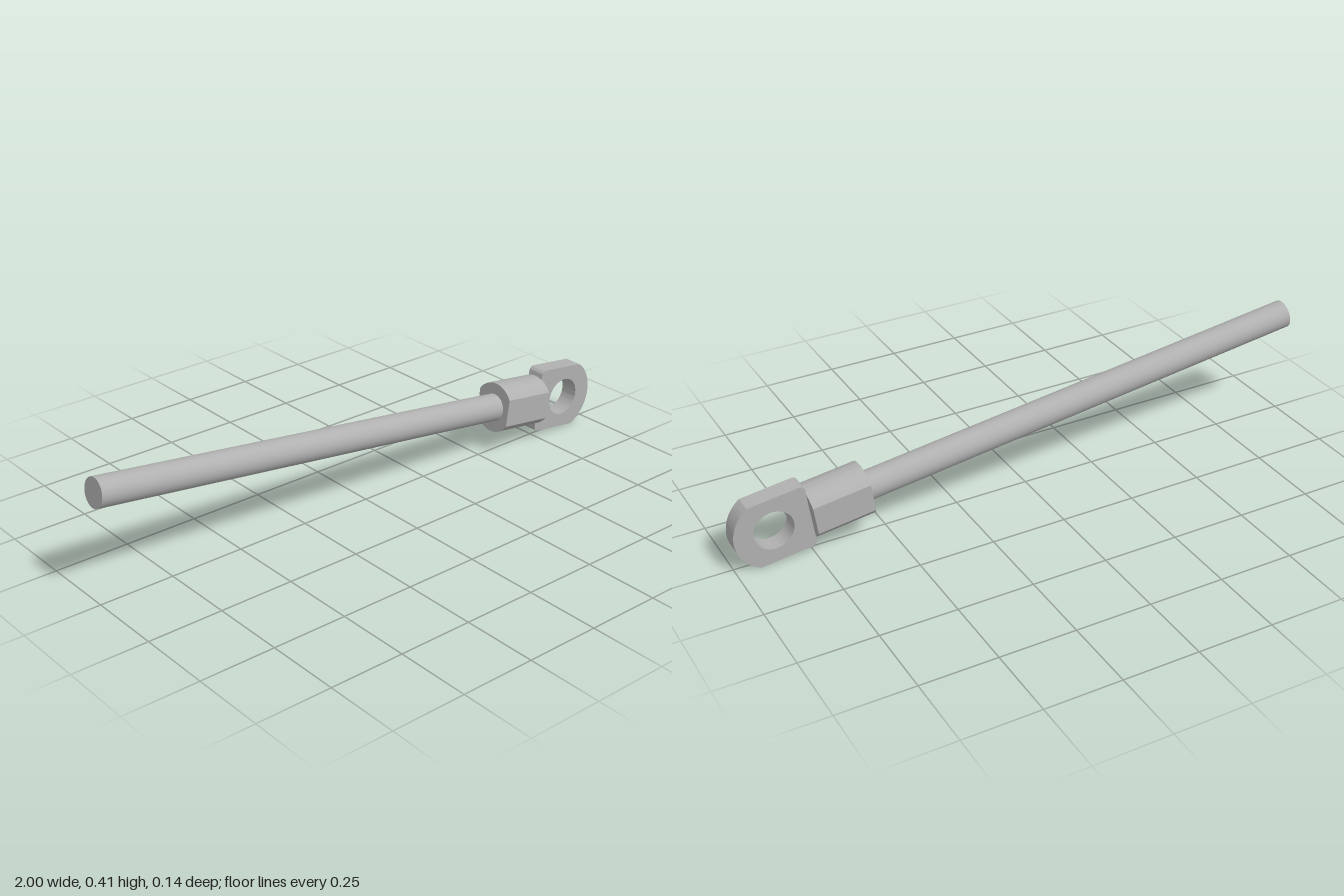
import * as THREE from 'three';
import { toCreasedNormals } from 'three/addons/utils/BufferGeometryUtils.js';

export function createModel() {
  const model = new THREE.Group();
  model.name = 'rodEnd';
  const steel = new THREE.MeshStandardMaterial({ color: 0xb0b0b0 });
  steel.name = 'grey steel';

  // Local frame: origin at the eye's centre, rod running along -x
  const body = new THREE.Group();
  body.name = 'tiltedRod';
  body.position.set(0.872, 0.12, 0);
  body.rotation.z = -THREE.MathUtils.degToRad(7.53);
  model.add(body);

  const add = (name, geometry) => {
    const mesh = new THREE.Mesh(geometry, steel);
    mesh.name = name;
    body.add(mesh);
  };
  const extrude = (shape, depth) => toCreasedNormals(
    new THREE.ExtrudeGeometry(shape, { depth, bevelEnabled: false, curveSegments: 32 }), 0.4);

  // Long round rod
  const rodStart = -1.882, rodEnd = -0.3;
  const rod = new THREE.CylinderGeometry(0.047, 0.047, rodEnd - rodStart, 48);
  rod.rotateZ(Math.PI / 2).translate((rodStart + rodEnd) / 2, 0, 0);
  add('rod', rod);

  // Sleeve: round bar with a flat on each side
  const sleeveR = 0.085, flat = Math.acos(0.071 / sleeveR);
  const section = new THREE.Shape();
  section.absarc(0, 0, sleeveR, flat, Math.PI - flat, false);
  section.absarc(0, 0, sleeveR, Math.PI + flat, 2 * Math.PI - flat, false);
  section.closePath();
  const sleeve = extrude(section, 0.191);
  sleeve.rotateY(Math.PI / 2).translate(-0.311, 0, 0);
  add('sleeve', sleeve);

  // Eye plate: rounded nose, small rounded rear corners, through hole
  const half = 0.111, noseR = 0.128, back = -0.121, r = 0.018;
  const a = Math.asin(half / noseR);
  const outline = new THREE.Shape();
  outline.absarc(0, 0, noseR, -a, a, false);
  outline.absarc(back + r, half - r, r, Math.PI / 2, Math.PI, false);
  outline.absarc(back + r, -half + r, r, Math.PI, Math.PI * 1.5, false);
  outline.closePath();
  const hole = new THREE.Path();
  hole.absarc(0, 0, 0.065, 0, Math.PI * 2, true);
  outline.holes.push(hole);
  const eye = extrude(outline, 0.062);
  eye.translate(0, 0, -0.031);
  add('eyePlate', eye);

  return model;
}
